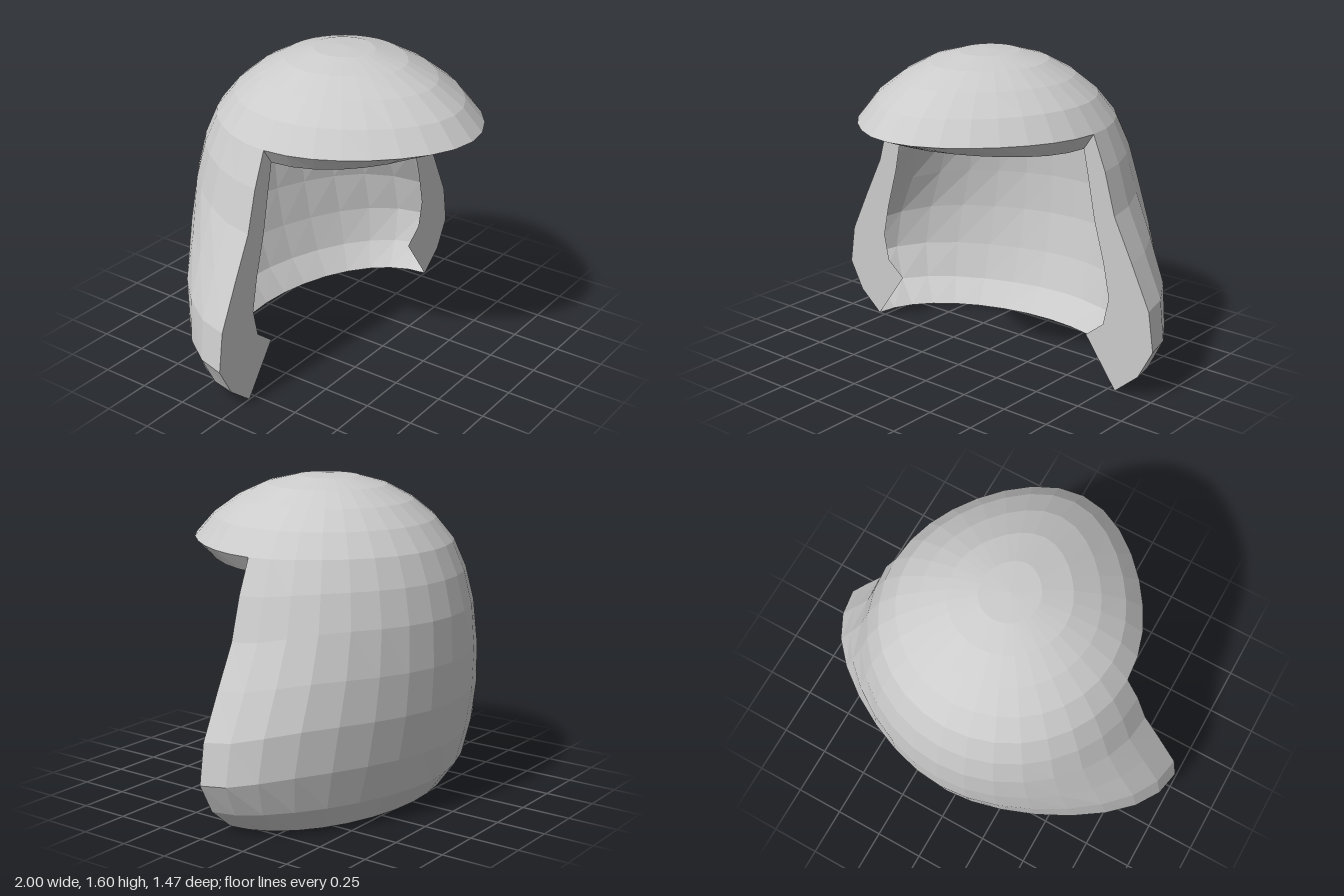
import * as THREE from 'three';

const SEG = 16; // segments per half turn
const BRIM = 5; // ring index of the brim edge

// Dome rings down to the brim: [side x, side y, back radius, back y, front radius, front y]
const DOME = [
  [0, 1.6, 0, 1.6, 0, 1.6],
  [0.145, 1.59, 0.15, 1.59, 0.165, 1.59],
  [0.29, 1.55, 0.29, 1.55, 0.335, 1.55],
  [0.42, 1.48, 0.42, 1.48, 0.495, 1.48],
  [0.54, 1.39, 0.53, 1.39, 0.635, 1.385],
  [0.63, 1.27, 0.62, 1.28, 0.735, 1.277],
];
// Back rings from brim to hem: [side x, side y, back radius, back y, flare power]
const BACK = [
  ...DOME.map((r) => [...r.slice(0, 4), 2.6]),
  [0.7, 1.1, 0.68, 1.14, 2.6],
  [0.76, 0.89, 0.72, 0.97, 2.6],
  [0.865, 0.68, 0.732, 0.75, 2.6],
  [0.97, 0.46, 0.72, 0.54, 2.5],
  [1.0, 0.26, 0.68, 0.32, 2.2],
  [0.92, 0.11, 0.62, 0.13, 1.6],
  [0.79, 0, 0.52, 0, 1.1],
];
// Inner edge of the brim lip, as a dome ring
const LIP = [0.575, 1.19, 0.575, 1.19, 0.585, 1.22];
// Inner edge of a side flap, from the lip down to the hem: [x, y]
const FLAP = [
  [0.575, 1.19], [0.605, 1.05], [0.645, 0.85], [0.705, 0.64],
  [0.74, 0.47], [0.71, 0.33], [0.61, 0.25], [0.79, 0],
];

// Half a turn of points, each made from the cosine and sine of its angle
const arc = (point) => Array.from({ length: SEG + 1 }, (_, j) => {
  const t = (Math.PI * j) / SEG;
  return point(Math.cos(t), Math.sin(t));
});
// Back half ring, flaring out towards its front edges
const backRing = ([sx, sy, br, by, power]) => arc((c, s) => [
  br * c + (sx - br) * Math.sign(c) * Math.abs(c) ** power,
  by + (sy - by) * c ** 10,
  -br * s,
]);
// Front half ring, drawn out to the peak
const frontRing = ([sx, sy, , , fr, fy]) => arc((c, s) => [
  -sx * c,
  fy + (sy - fy) * Math.abs(c) ** 3,
  s * (sx + (fr - sx) * s ** 3),
]);

// Skins rows of points with faceted quads
function skin(name, rows) {
  const pos = [];
  const tri = (...corners) => {
    const [p, q, r] = corners.map((v) => new THREE.Vector3(...v));
    if (new THREE.Triangle(p, q, r).getArea() > 1e-7) pos.push(...p, ...q, ...r);
  };
  for (let i = 0; i < rows.length - 1; i++) {
    for (let j = 0; j < rows[i].length - 1; j++) {
      const a = rows[i][j], b = rows[i][j + 1], d = rows[i + 1][j], e = rows[i + 1][j + 1];
      tri(a, d, e);
      tri(a, e, b);
    }
  }
  const geo = new THREE.BufferGeometry();
  geo.setAttribute('position', new THREE.Float32BufferAttribute(pos, 3));
  geo.computeVertexNormals();
  const material = new THREE.MeshStandardMaterial({ color: 0xcccccc, flatShading: true, side: THREE.DoubleSide });
  const mesh = new THREE.Mesh(geo, material);
  mesh.name = name;
  return mesh;
}

export function createModel() {
  const group = new THREE.Group();
  group.name = 'helmet';

  // Thin shell: full back down to the hem, front only down to the brim
  group.add(skin('backShell', BACK.map(backRing)));
  group.add(skin('frontDome', DOME.map(frontRing)));

  // Lip turned inwards under the brim
  group.add(skin('brimLip', [DOME[BRIM], LIP].map(frontRing)));

  // Flat flaps turned inwards along both front edges
  for (const side of [1, -1]) {
    const rows = FLAP.map(([x, y], k) => {
      const [ox, oy] = BACK[BRIM + k];
      const row = [[side * x, y, 0], [side * ox, oy, 0]];
      return side > 0 ? row : row.reverse();
    });
    group.add(skin(side > 0 ? 'leftFlap' : 'rightFlap', rows));
  }
  return group;
}
